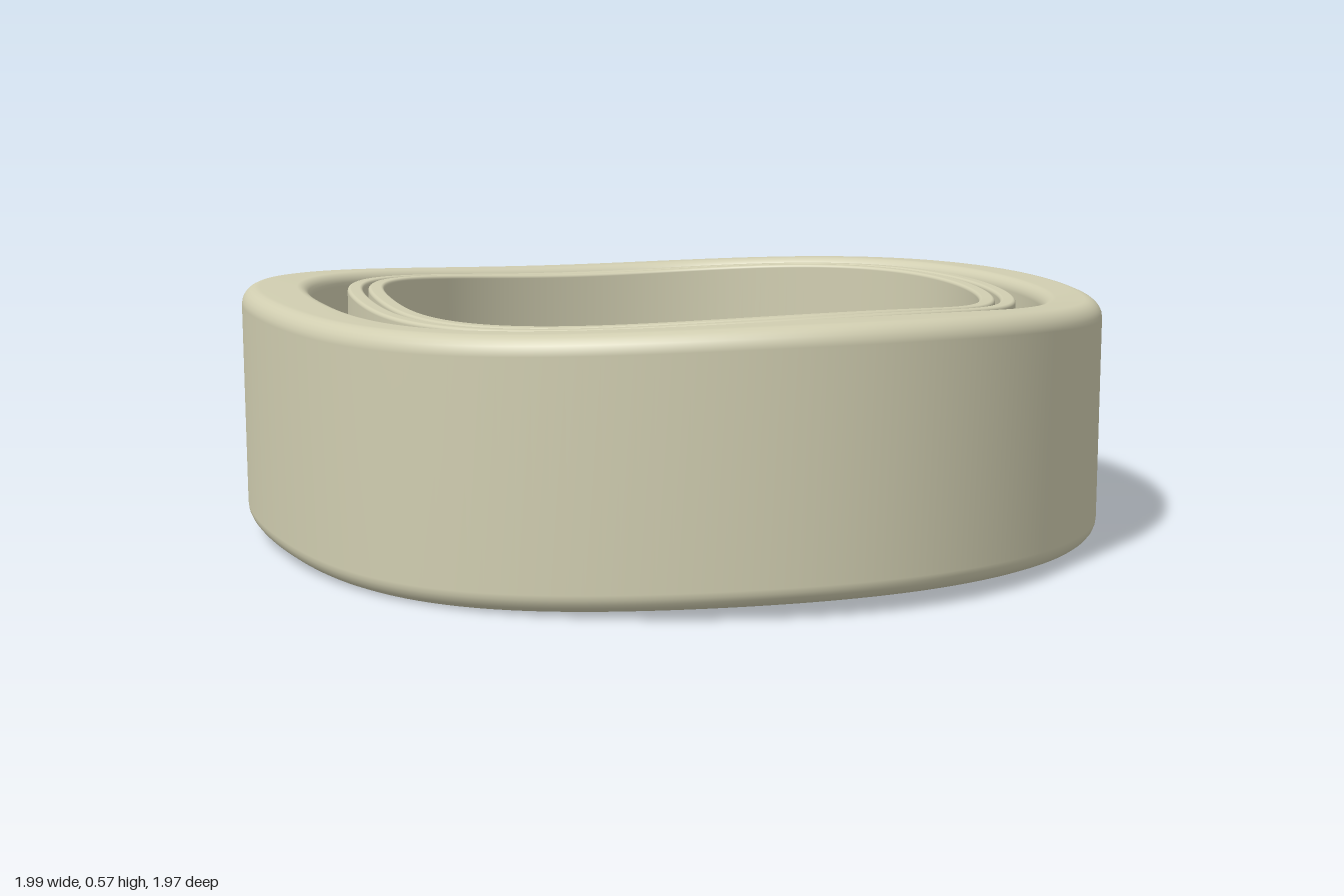
import * as THREE from 'three';

const STEPS = 180;

// Turns a few [degrees, radius] readings into a smooth closed radius function.
// Angles run from +x towards +z.
function outline(points) {
  const samples = 360, order = 8, harmonics = [];
  const radiusAt = (deg) => {
    for (let i = 0; i < points.length; i++) {
      const [a0, r0] = points[i];
      const [a1, r1] = i + 1 < points.length ? points[i + 1] : [points[0][0] + 360, points[0][1]];
      if (deg >= a0 && deg <= a1) return r0 + (r1 - r0) * (deg - a0) / (a1 - a0);
    }
    return points[0][1];
  };
  for (let k = 0; k <= order; k++) {
    let c = 0, s = 0;
    for (let d = 0; d < samples; d++) {
      const t = d * Math.PI / 180;
      c += radiusAt(d) * Math.cos(k * t);
      s += radiusAt(d) * Math.sin(k * t);
    }
    const w = (k === 0 ? 1 : 2) / samples;
    harmonics.push([c * w, s * w]);
  }
  return (t) => harmonics.reduce((sum, [c, s], k) => sum + c * Math.cos(k * t) + s * Math.sin(k * t), 0);
}

// Gentle three-crest wave of the whole stack
const wave = (t) => 0.014 * Math.cos(3 * (t - 100 * Math.PI / 180));

// Rounded-rectangle cross-section swept round between two outlines
function ringGeometry(outer, inner, halfHeight, outerRound, innerRound) {
  const section = []; // [uses outer edge, radial offset, height]
  const corner = (isOuter, sy, start, round) => {
    const n = 6;
    for (let i = 0; i <= n; i++) {
      const a = start + (i / n) * Math.PI / 2;
      section.push([isOuter, (isOuter ? -round : round) + round * Math.cos(a),
        sy * (halfHeight - round) + round * Math.sin(a)]);
    }
  };
  corner(true, -1, -Math.PI / 2, outerRound);
  corner(true, 1, 0, outerRound);
  corner(false, 1, Math.PI / 2, innerRound);
  corner(false, -1, Math.PI, innerRound);

  const positions = [], index = [], m = section.length;
  for (let i = 0; i < STEPS; i++) {
    const t = (i / STEPS) * Math.PI * 2;
    const ro = outer(t), ri = inner(t), lift = 0.285 + wave(t);
    for (const [isOuter, offset, y] of section) {
      const r = (isOuter ? ro : ri) + offset;
      positions.push(r * Math.cos(t), y + lift, r * Math.sin(t));
    }
    const next = (i + 1) % STEPS;
    for (let j = 0; j < m; j++) {
      const k = (j + 1) % m;
      const a = i * m + j, b = i * m + k, c = next * m + j, d = next * m + k;
      index.push(a, b, c, b, d, c);
    }
  }
  const geometry = new THREE.BufferGeometry();
  geometry.setAttribute('position', new THREE.Float32BufferAttribute(positions, 3));
  geometry.setIndex(index);
  geometry.computeVertexNormals();
  return geometry;
}

export function createModel() {
  const model = new THREE.Group();
  model.name = 'nestedRings';
  const stone = new THREE.MeshStandardMaterial({ color: 0xd0cdb0 });
  stone.name = 'pale stone';

  const shellOuter = outline([[0, 1], [14.7, 0.984], [35.7, 0.96], [57.5, 0.949], [75.4, 0.955],
    [92, 0.98], [107, 0.976], [125, 0.97], [147, 0.988], [164, 1.0], [173, 1.006], [185, 0.987],
    [208.5, 1.047], [230.7, 1.059], [247, 1.031], [268, 0.991], [294, 0.985], [313, 0.983], [334.6, 0.982]]);
  const shellInner = outline([[0, 0.86], [18.6, 0.844], [41, 0.822], [64.4, 0.812], [96, 0.833],
    [116, 0.838], [141, 0.86], [160, 0.881], [170, 0.882], [183, 0.851], [206.6, 0.882], [222, 0.9],
    [243, 0.885], [268.6, 0.847], [293.6, 0.866], [314.5, 0.876], [335, 0.87]]);
  const bandOuter = outline([[0, 0.805], [17.7, 0.787], [39, 0.761], [66, 0.748], [96, 0.783],
    [118, 0.792], [139.5, 0.802], [158, 0.82], [169.5, 0.822], [186, 0.786], [210, 0.8], [230, 0.823],
    [249, 0.813], [268, 0.79], [296, 0.79], [315, 0.791], [334.6, 0.793]]);
  const inset = (d) => (t) => bandOuter(t) - d;

  const add = (name, ...shape) => {
    const mesh = new THREE.Mesh(ringGeometry(...shape), stone);
    mesh.name = name;
    model.add(mesh);
  };
  // Thick outer shell and two thin bands nested inside it
  add('outerShell', shellOuter, shellInner, 0.271, 0.04, 0.03);
  add('middleBand', bandOuter, inset(0.036), 0.264, 0.008, 0.008);
  add('innerBand', inset(0.048), inset(0.085), 0.264, 0.008, 0.008);
  return model;
}
